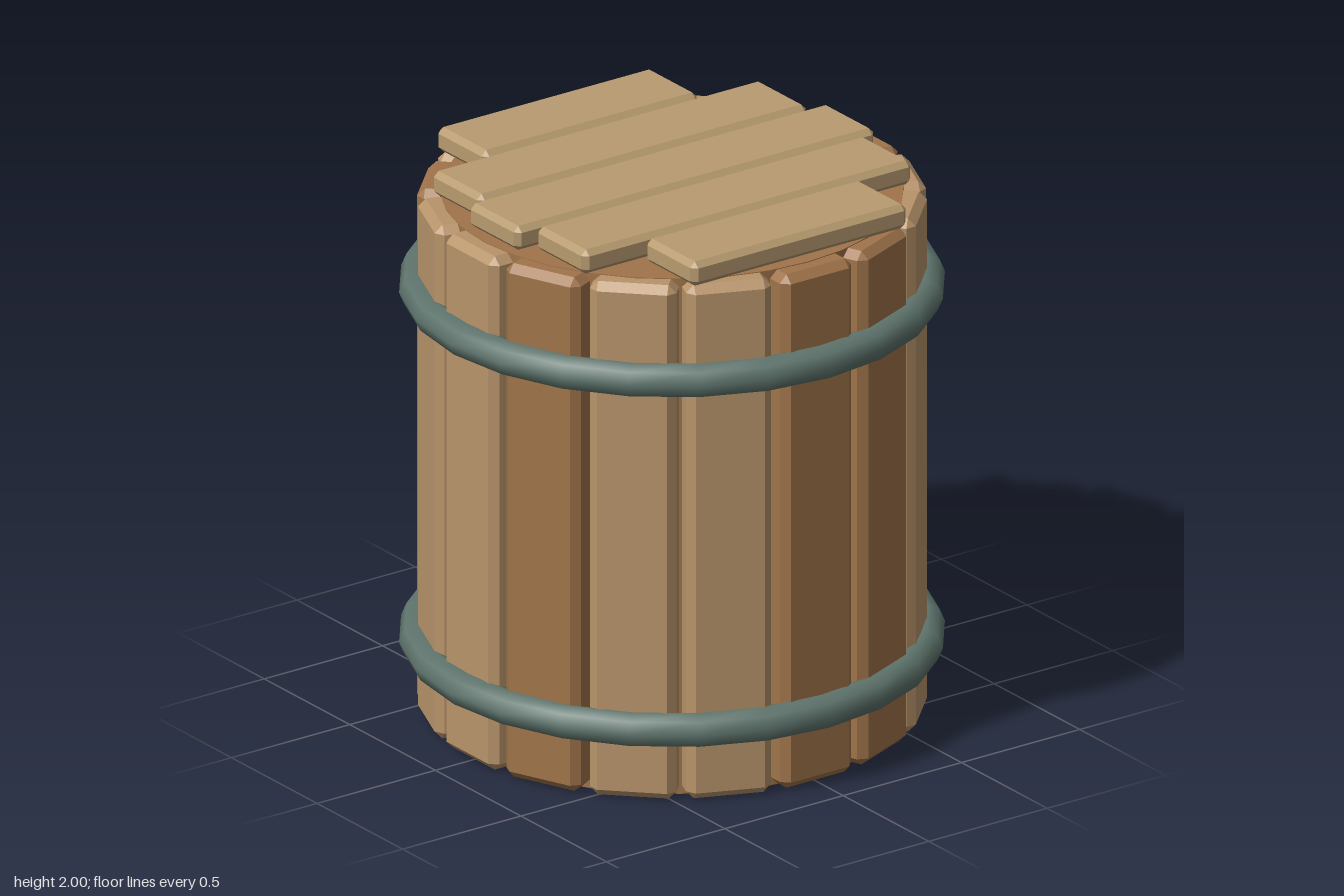
import * as THREE from 'three';
import { ConvexGeometry } from 'three/addons/geometries/ConvexGeometry.js';

const TAN = 0xb8946a, BROWN = 0xa0744a, LID = 0xb89b70, IRON = 0x5f756d;

const paint = (color, flatShading = false) => new THREE.MeshStandardMaterial({ color, flatShading });

// Box with every edge chamfered by b: three shrunken corner points per corner
function chamferBox(w, h, d, b) {
  const pts = [];
  for (const x of [-1, 1]) for (const y of [-1, 1]) for (const z of [-1, 1]) {
    const X = x * w / 2, Y = y * h / 2, Z = z * d / 2;
    pts.push(
      new THREE.Vector3(X, Y - y * b, Z - z * b),
      new THREE.Vector3(X - x * b, Y, Z - z * b),
      new THREE.Vector3(X - x * b, Y - y * b, Z));
  }
  return new ConvexGeometry(pts);
}

export function createModel() {
  const model = new THREE.Group();
  model.name = 'barrel';
  const add = (name, geometry, material, parent = model) => {
    const mesh = new THREE.Mesh(geometry, material);
    mesh.name = name;
    parent.add(mesh);
    return mesh;
  };

  // Inner drum closing the top and bottom
  add('core', new THREE.CylinderGeometry(0.795, 0.795, 1.913, 32), paint(BROWN)).position.y = 1.913 / 2;

  // Ring of staves, every third one darker, counted from the +x side
  const staves = new THREE.Group();
  staves.name = 'staves';
  model.add(staves);
  const staveGeo = chamferBox(0.3, 1.906, 0.12, 0.028);
  const tan = paint(TAN, true), brown = paint(BROWN, true);
  for (let j = 0; j < 16; j++) {
    const a = Math.PI / 2 - j * Math.PI / 8;
    const stave = add('stave', staveGeo, j % 3 === 0 ? brown : tan, staves);
    stave.position.set(Math.sin(a) * 0.805, 0.957, Math.cos(a) * 0.805);
    stave.rotation.y = a;
  }

  // Iron hoops
  const hoopGeo = new THREE.TorusGeometry(0.877, 0.0625, 8, 24).rotateX(Math.PI / 2);
  const iron = paint(IRON);
  for (const y of [0.27, 1.568]) add('hoop', hoopGeo, iron).position.y = y;

  // Lid planks, shorter towards the sides
  const lid = new THREE.Group();
  lid.name = 'lid';
  model.add(lid);
  const wood = paint(LID, true);
  [0.91, 1.39, 1.52, 1.39, 0.91].forEach((length, i) => {
    add('lidPlank', chamferBox(0.29, 0.09, length, 0.02), wood, lid).position.set((i - 2) * 0.305, 1.955, 0);
  });

  return model;
}
